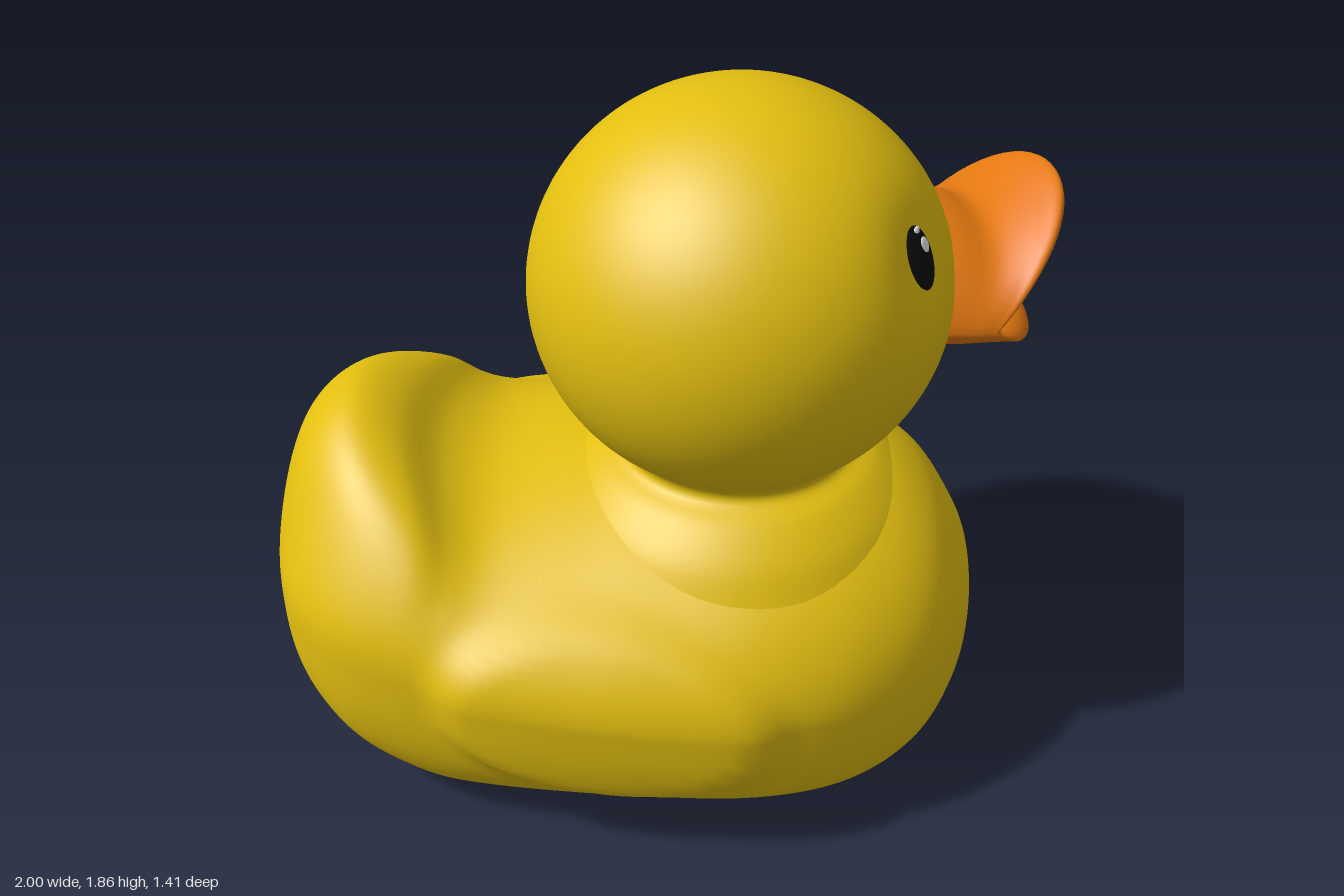
import * as THREE from 'three';
import { mergeVertices } from 'three/addons/utils/BufferGeometryUtils.js';

const mat = (name, color) => {
  const m = new THREE.MeshStandardMaterial({ color });
  m.name = name;
  return m;
};
const smooth = THREE.MathUtils.smoothstep;
const signedPow = (v, p) => Math.sign(v) * Math.abs(v) ** p;

// Closed rings stacked along x; point(i, angle) gives [x, y, z]
function loft(rings, sides, point) {
  const pos = [], index = [];
  for (let i = 0; i < rings; i++) {
    for (let j = 0; j < sides; j++) {
      pos.push(...point(i, (j / sides) * Math.PI * 2));
      if (i === rings - 1) continue;
      const a = i * sides + j, b = i * sides + ((j + 1) % sides);
      index.push(a, a + sides, b, b, a + sides, b + sides);
    }
  }
  const g = new THREE.BufferGeometry();
  g.setAttribute('position', new THREE.Float32BufferAttribute(pos, 3));
  g.setIndex(index);
  const merged = mergeVertices(g, 1e-5);
  merged.computeVertexNormals();
  return merged;
}

// Body with upturned tail, flat base and raised wings
function bodyGeometry() {
  // x, bottom, top, half width, roundness of the upper half
  const stations = [
    [-1, 0.55, 0.55, 0, 2], [-0.985, 0.42, 0.68, 0.16, 2], [-0.95, 0.32, 0.82, 0.30, 2],
    [-0.9, 0.235, 0.93, 0.40, 2], [-0.83, 0.15, 1.0, 0.475, 2], [-0.75, 0.085, 1.02, 0.53, 2],
    [-0.65, 0.035, 0.975, 0.57, 2.1], [-0.54, 0, 0.875, 0.6, 2.2], [-0.4, 0, 0.83, 0.63, 2.1],
    [-0.2, 0, 0.855, 0.65, 1.9], [0, 0, 0.89, 0.66, 1.8], [0.25, 0, 0.91, 0.655, 1.8],
    [0.45, 0, 0.9, 0.605, 1.8], [0.6, 0.02, 0.855, 0.525, 1.85], [0.72, 0.075, 0.765, 0.42, 2],
    [0.8, 0.16, 0.655, 0.3, 2], [0.85, 0.27, 0.55, 0.17, 2], [0.87, 0.41, 0.41, 0, 2],
  ];
  const heights = new THREE.CatmullRomCurve3(
    stations.map(s => new THREE.Vector3(s[0], s[1], s[2])), false, 'catmullrom');
  const widths = new THREE.CatmullRomCurve3(
    stations.map(s => new THREE.Vector3(s[0], s[3], s[4])), false, 'catmullrom');
  const n = 103;
  return loft(n, 96, (i, a) => {
    const t = i / (n - 1), h = heights.getPoint(t), w = widths.getPoint(t);
    const c = Math.cos(a), s = Math.sin(a), mid = 0.47 - 0.08 * h.x;
    const p = s > 0 ? w.z : 2.8;
    let x = h.x, z = Math.max(w.y, 0) * signedPow(c, 2 / p);
    const lift = signedPow(s, 2 / p);
    const y = s > 0 ? mid + (h.z - mid) * lift
      : Math.max(h.y, 0, mid + (mid - h.y) * 1.07 * lift);
    // tail wraps forward at its sides
    x += 0.5 * z * z * smooth(y, 0.6, 0.95) * (1 - smooth(x, -0.6, -0.35));
    // wing plateau on each side
    const d = Math.hypot((x + 0.1) / 0.46, (y - 0.45 + 0.08 * x) / 0.27);
    z += Math.sign(c) * 0.042 * (1 - smooth(d, 0.78, 1.05)) * smooth(Math.abs(z), 0.3, 0.5);
    return [x, y, z];
  });
}

const EYE_TURN = 0.75, EYE_LIFT = 0.4;
const eyeDirection = s => new THREE.Vector3(
  Math.cos(EYE_LIFT) * Math.cos(EYE_TURN), Math.sin(EYE_LIFT),
  s * Math.cos(EYE_LIFT) * Math.sin(EYE_TURN));

// Round head and flared neck, with shallow eye sockets
function headGeometry() {
  const pts = new THREE.SplineCurve([
    [0.5, 0.72], [0.45, 0.8], [0.375, 0.87], [0.318, 0.9], [0.312, 0.93], [0.34, 0.966],
  ].map(p => new THREE.Vector2(...p))).getPoints(20);
  for (let i = 0; i <= 48; i++) {
    const a = THREE.MathUtils.lerp(-0.76, Math.PI / 2, i / 48);
    pts.push(new THREE.Vector2(Math.max(0, 0.525 * Math.cos(a)), 1.35 + 0.51 * Math.sin(a)));
  }
  let g = new THREE.LatheGeometry(pts, 80);
  g.deleteAttribute('uv');
  g.deleteAttribute('normal');
  g = mergeVertices(g, 1e-5);
  const center = new THREE.Vector3(0, 1.35, 0), v = new THREE.Vector3();
  const sockets = [-1, 1].map(s => eyeDirection(s).multiplyScalar(0.52).add(center));
  const pos = g.attributes.position;
  for (let i = 0; i < pos.count; i++) {
    v.fromBufferAttribute(pos, i);
    let dent = 0;
    for (const e of sockets) dent += 0.03 * Math.exp(-v.distanceToSquared(e) / 0.02);
    v.sub(center).multiplyScalar(1 - dent / 0.52).add(center);
    pos.setXYZ(i, v.x, v.y, v.z);
  }
  g.computeVertexNormals();
  return g;
}

// Open bill: outer skin, rolled rim, then the hollow of the mouth
function billGeometry() {
  // half width, rise, drop, x at the corners, x at the top, x at the bottom
  const keys = [
    [0.23, 0.26, 0.11, 0.33, 0.40, 0.40], [0.265, 0.225, 0.115, 0.44, 0.52, 0.52],
    [0.285, 0.19, 0.11, 0.51, 0.61, 0.62], [0.292, 0.225, 0.115, 0.545, 0.70, 0.69],
    [0.295, 0.272, 0.12, 0.56, 0.765, 0.725], [0.288, 0.28, 0.10, 0.567, 0.80, 0.745],
    [0.268, 0.24, 0.06, 0.565, 0.805, 0.735], [0.23, 0.17, 0.025, 0.56, 0.74, 0.70],
    [0.16, 0.11, 0.01, 0.56, 0.65, 0.64], [0, 0, 0, 0.58, 0.58, 0.58],
  ];
  const curve = pick => new THREE.CatmullRomCurve3(
    keys.map(k => new THREE.Vector3(...pick(k))), false, 'catmullrom');
  const size = curve(k => k.slice(0, 3)), reach = curve(k => k.slice(3));
  const n = 37;
  return loft(n, 64, (i, a) => {
    const t = i / (n - 1), q = size.getPoint(t), r = reach.getPoint(t);
    const c = Math.cos(a), s = Math.sin(a);
    const x = s > 0 ? r.x + (r.y - r.x) * s : r.x + (r.z - r.x) * -s;
    return [x, 1.29 + s * (s > 0 ? q.y : q.z), q.x * c];
  });
}

export function createModel() {
  const yellow = mat('yellow', 0xe3bf10);
  const orange = mat('orange', 0xe47810);
  const black = mat('black', 0x0c0c0c);
  const white = mat('white', 0xe8e8e8);
  const model = new THREE.Group();
  model.name = 'toyDuck';
  const add = (parent, name, geometry, material) => {
    const m = new THREE.Mesh(geometry, material);
    m.name = name;
    parent.add(m);
    return m;
  };

  add(model, 'body', bodyGeometry(), yellow);

  // Head is turned a little to one side
  const head = new THREE.Group();
  head.name = 'headGroup';
  head.position.x = 0.215;
  head.rotation.y = 0.28;
  model.add(head);
  add(head, 'head', headGeometry(), yellow);
  add(head, 'bill', billGeometry(), orange);

  // Eyes with a pale upper rim and two glints
  const ball = new THREE.SphereGeometry(1, 32, 20);
  for (const s of [-1, 1]) {
    const eye = new THREE.Group();
    eye.name = s > 0 ? 'eyeNear' : 'eyeFar';
    eye.position.copy(eyeDirection(s)).multiplyScalar(0.483).add(new THREE.Vector3(0, 1.35, 0));
    eye.rotation.set(-EYE_LIFT, Math.PI / 2 - s * EYE_TURN, 0, 'YXZ');
    head.add(eye);
    const disc = (name, x, y, z, w, h, d, material) => {
      const m = add(eye, name, ball, material);
      m.position.set(x, y, z);
      m.scale.set(w, h, d);
    };
    disc('eyeRim', -s * 0.004, 0.008, 0, 0.065, 0.085, 0.018, white);
    disc('pupil', 0, 0, 0.002, 0.065, 0.086, 0.024, black);
    disc('glint', s * 0.016, 0.026, 0.023, 0.019, 0.021, 0.004, white);
    disc('smallGlint', s * 0.014, 0.066, 0.016, 0.014, 0.009, 0.004, white);
  }
  return model;
}
